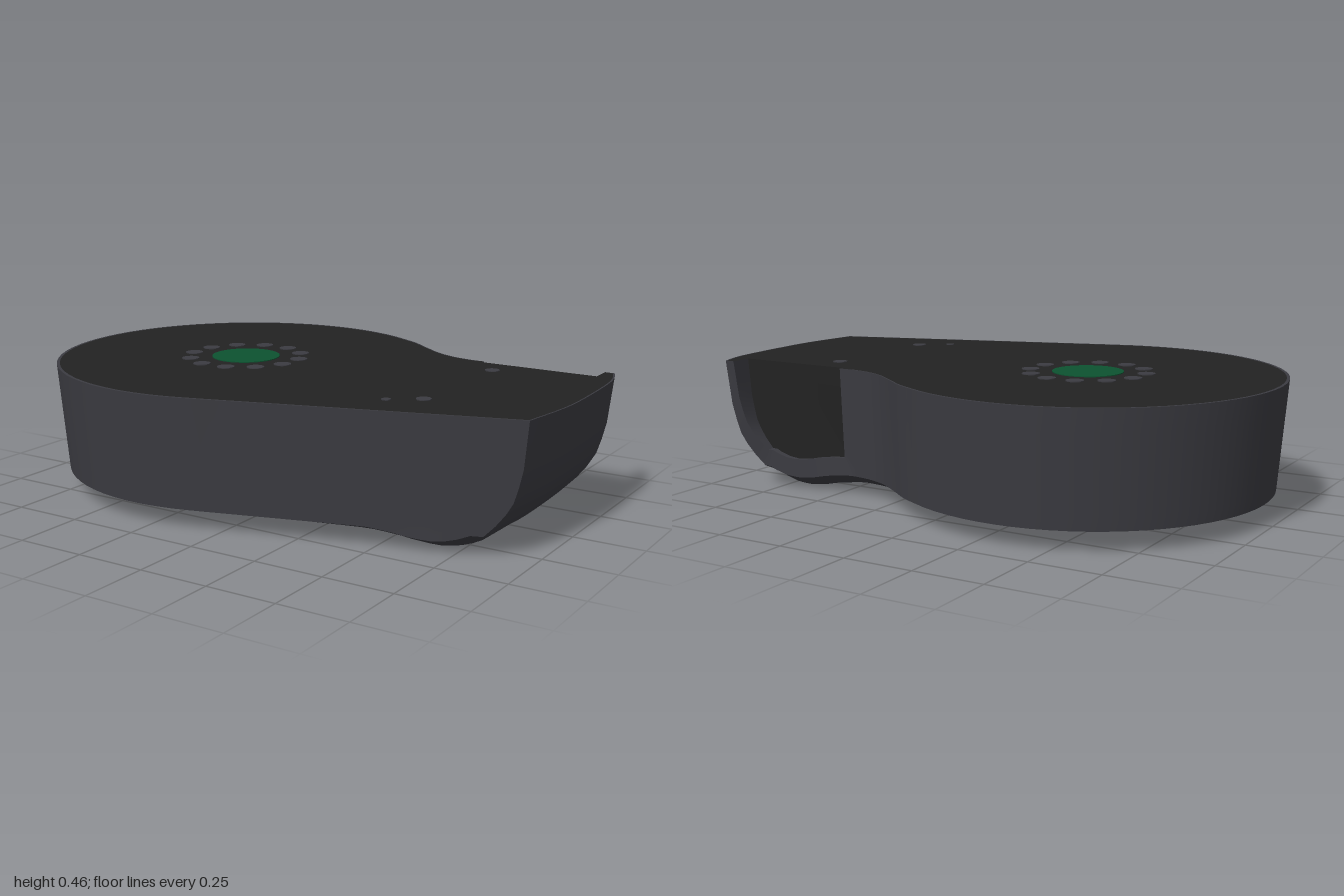
import * as THREE from 'three';
import { toCreasedNormals } from 'three/addons/utils/BufferGeometryUtils.js';

const TOP = 0.46;
const V2 = (x, y) => new THREE.Vector2(x, y);
const lerp = THREE.MathUtils.lerp, clamp = THREE.MathUtils.clamp;

// Piecewise linear lookup through [key, value] pairs with rising keys
function lookup(table, k) {
  for (let i = 1; i < table.length; i++) {
    const [k0, v0] = table[i - 1], [k1, v1] = table[i];
    if (k <= k1) return lerp(v0, v1, clamp((k - k0) / (k1 - k0), 0, 1));
  }
  return table[table.length - 1][1];
}
// Rounded end of the housing, and height of its underside along x
const endX = y => lookup([[0.04, 0.82], [0.07, 0.87], [0.13, 0.93], [0.2, 0.97], [0.3, 0.99], [TOP, 1]], y);
const underside = x => lookup([[-1, 0.047], [0.45, 0.033], [0.55, 0.02], [0.62, 0.005], [0.68, 0],
  [0.73, 0.005], [0.78, 0.02], [0.83, 0.045], [0.87, 0.07]], x);

// Plan outline: right end, front, round body, then the concave neck
function planOutline() {
  const pts = new THREE.SplineCurve([V2(0.95, -0.45), V2(0.985, -0.33), V2(1, -0.1), V2(1, 0.1), V2(0.97, 0.32)]).getPoints(12);
  for (let i = 1; i < 20; i++) pts.push(V2(lerp(0.97, -0.1, i / 20), lerp(0.32, 0.658, i / 20)));
  for (let i = 0; i <= 44; i++) {
    const a = THREE.MathUtils.degToRad(lerp(72.5, 299.5, i / 44));
    pts.push(V2(-0.31 + 0.69 * Math.cos(a), 0.69 * Math.sin(a)));
  }
  const neck = new THREE.SplineCurve([V2(0.03, -0.6), V2(0.1, -0.562), V2(0.18, -0.5), V2(0.27, -0.435), V2(0.35, -0.4), V2(0.43, -0.385)]);
  return pts.concat(neck.getPoints(18).slice(1));
}

// Pull a point toward the lengthwise spine of the body
function towardSpine(p, s) {
  const cx = clamp(p.x, -0.31, 0.65);
  return new THREE.Vector3(lerp(cx, p.x, s), p.y, lerp(-0.03, p.z, s));
}

// Place an outline point on the tapered wall at height y
function wallPoint(p, y) {
  let { x, y: z } = p;
  if (x > 0.45) {
    const nx = 0.45 + (x - 0.45) * (endX(y) - 0.45) / 0.55;
    z -= lerp(0.3, 0.316, clamp((z + 0.45) / 0.77, 0, 1)) * (nx - x);
    x = nx;
  }
  return towardSpine(new THREE.Vector3(x, y, z), 1 - 0.045 * (TOP - y) / 0.39);
}

// Join rows of equal length into one surface
function strip(rows, crease = 0.6) {
  const n = rows[0].length, index = [];
  for (let r = 0; r < rows.length - 1; r++) {
    for (let i = 0; i < n - 1; i++) {
      const a = r * n + i, c = a + n;
      index.push(a, a + 1, c + 1, a, c + 1, c);
    }
  }
  const g = new THREE.BufferGeometry().setFromPoints(rows.flat());
  g.setIndex(index);
  return toCreasedNormals(g, crease);
}

export function createModel() {
  const group = new THREE.Group();
  const material = (name, color, side = THREE.FrontSide) => {
    const m = new THREE.MeshStandardMaterial({ color, side });
    m.name = name;
    return m;
  };
  const shell = material('charcoal shell', 0x3b3b41, THREE.DoubleSide);
  const black = material('black panel', 0x222222, THREE.DoubleSide);
  const green = material('green centre', 0x0d5230);
  const add = (name, geometry, mat) => {
    const m = new THREE.Mesh(geometry, mat);
    m.name = name;
    group.add(m);
    return m;
  };

  // Tapered side wall with a narrow rim around the top
  const plan = planOutline();
  const base = p => {
    const q = wallPoint(p, 0.07);
    return q.setY(Math.min(0.07, underside(q.x) + 0.04));
  };
  const walls = [0.46, 0.38, 0.3, 0.24, 0.19, 0.15, 0.11].map(y => plan.map(p => wallPoint(p, y)));
  walls.push(plan.map(base));
  const rim = walls[0].map(p => towardSpine(p, 0.985));
  add('sideWall', strip([rim, ...walls]), shell);

  // Chamfered underside with the bulge below the rounded end
  const back = [];
  for (let i = 1; i < 16; i++) back.push(V2(lerp(0.43, 0.95, i / 16), lerp(-0.385, -0.45, i / 16)));
  const edge = [...plan, ...back, plan[0]].map(base);
  const under = [1, 0.95, 0.89, 0.8, 0.6, 0.4, 0.2, 0].map(s => edge.map(p => {
    const q = towardSpine(p, s);
    return q.setY(lerp(p.y, underside(q.x), clamp((1 - s) / 0.19, 0, 1)));
  }));
  add('underside', strip(under), shell);

  // U-shaped recess in the back wall, open at the top
  const last = plan.length - 1;
  const outer = [
    ...walls.map(row => row[last]),
    ...back.map(base),
    ...walls.map(row => row[0]).reverse(),
  ];
  const inner = outer.map(p => new THREE.Vector3(lerp(0.72, p.x, 0.84), lerp(TOP, p.y, 0.84), p.z));
  const plate = inner.map(p => new THREE.Vector3(p.x, p.y, Math.max(-0.37, p.z + 0.012)));
  add('recessRim', strip([plate, inner, outer]), shell);
  add('recessPlate', strip([plate.map(() => new THREE.Vector3(0.7, TOP, -0.37)), plate]), black);

  // Flat top panel, notched along the recess
  const end = inner.length - 1;
  const deck = [...rim, inner[0], plate[0], plate[end], inner[end]];
  const deckGeometry = new THREE.ShapeGeometry(new THREE.Shape(deck.map(p => V2(p.x, -p.z))));
  add('topPanel', deckGeometry.rotateX(-Math.PI / 2).translate(0, TOP, 0), black);

  // Thin round details on the top panel
  const disc = (name, x, z, r, mat) => {
    add(name, new THREE.CylinderGeometry(r, r, 0.004, r > 0.1 ? 40 : 14), mat).position.set(x, TOP + 0.001, z);
  };
  disc('centreDisc', -0.31, 0, 0.125, green);
  for (let i = 0; i < 12; i++) {
    const a = (i + 0.5) * Math.PI / 6;
    disc('ringDot', -0.31 + 0.206 * Math.cos(a), 0.206 * Math.sin(a), 0.032, shell);
  }
  disc('screwDot', 0.57, -0.26, 0.026, shell);
  disc('screwDot', 0.57, 0.25, 0.026, shell);
  disc('pinDot', 0.47, 0.32, 0.016, shell);
  return group;
}
